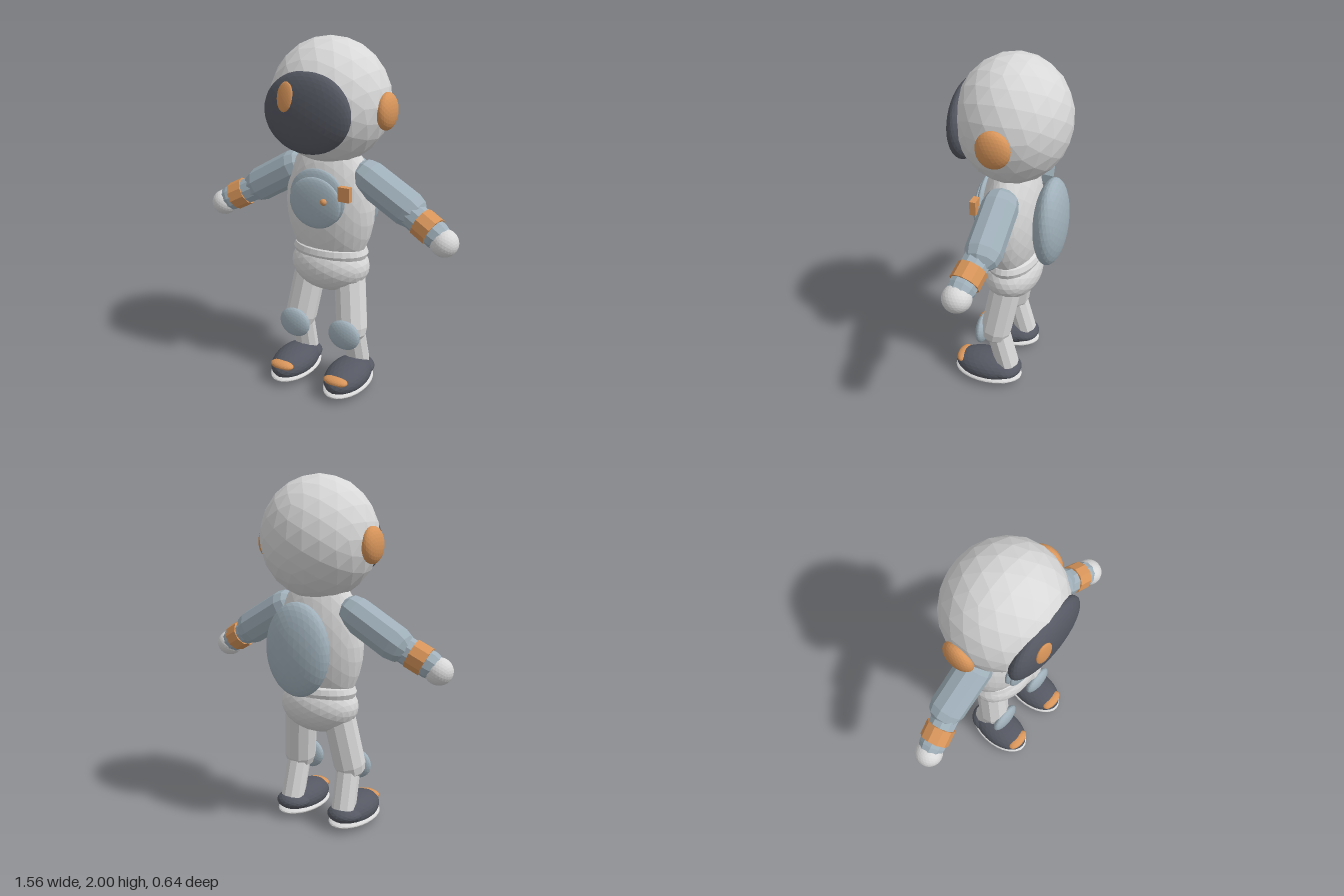
import * as THREE from 'three';

const paint = (name, color) => {
  const m = new THREE.MeshStandardMaterial({ color });
  m.name = name;
  return m;
};

// Faceted normals for a low-poly look
function faceted(geometry) {
  const g = geometry.index ? geometry.toNonIndexed() : geometry;
  g.computeVertexNormals();
  return g;
}

export function createModel() {
  const suit = paint('suit grey', 0xd8d8d8);
  const blue = paint('pad blue grey', 0xa0b0ba);
  const orange = paint('accent orange', 0xd8955a);
  const dark = paint('visor dark', 0x555862);
  const model = new THREE.Group();
  model.name = 'spaceSuitFigure';

  function add(name, geometry, material, parent = model) {
    const mesh = new THREE.Mesh(faceted(geometry), material);
    mesh.name = name;
    parent.add(mesh);
    return mesh;
  }

  // Faceted ellipsoid from centre and radii
  function blob(name, material, centre, radii, detail = 4, parent = model) {
    const mesh = add(name, new THREE.IcosahedronGeometry(1, detail), material, parent);
    mesh.position.set(...centre);
    mesh.scale.set(...radii);
    return mesh;
  }

  // Eight-sided limb between two points, rounded or straight-ended
  function limb(name, material, a, b, radius, rounded, parent) {
    const from = new THREE.Vector3(...a), to = new THREE.Vector3(...b);
    const dir = to.clone().sub(from), length = dir.length();
    const geometry = rounded
      ? new THREE.CapsuleGeometry(radius, length, 3, 10)
      : new THREE.CylinderGeometry(radius, radius, length, 10);
    const mesh = add(name, geometry, material, parent);
    mesh.position.copy(from).add(to).multiplyScalar(0.5);
    mesh.quaternion.setFromUnitVectors(new THREE.Vector3(0, 1, 0), dir.normalize());
    return mesh;
  }

  // Helmet
  blob('helmet', suit, [0, 1.66, -0.01], [0.337, 0.342, 0.312], 3);
  blob('visor', dark, [0, 1.63, 0.24], [0.256, 0.216, 0.078], 6);
  const glint = blob('visorGlint', orange, [-0.09, 1.715, 0.304], [0.05, 0.078, 0.014], 4);
  glint.rotation.set(-0.13, -0.12, -0.1);

  // Trunk
  blob('torso', suit, [0, 1.08, -0.005], [0.272, 0.4, 0.162], 4);
  blob('hips', suit, [0, 0.72, -0.008], [0.24, 0.16, 0.168], 4);
  const belt = add('belt', new THREE.TorusGeometry(0.19, 0.042, 8, 28).rotateX(Math.PI / 2), suit);
  belt.position.set(0, 0.81, -0.01);
  belt.scale.z = 0.66;
  blob('backpack', blue, [0, 1.07, -0.225], [0.2, 0.262, 0.09], 5);

  // Chest panel
  blob('chestPlate', blue, [0, 1.15, 0.14], [0.172, 0.165, 0.036], 5);
  blob('chestDisc', blue, [0, 1.127, 0.165], [0.16, 0.145, 0.032], 5);
  blob('chestButton', orange, [0.07, 1.15, 0.19], [0.02, 0.02, 0.02], 2);
  add('chestBadge', new THREE.BoxGeometry(0.068, 0.08, 0.035), orange)
    .position.set(0.18, 1.2, 0.155);

  for (const [side, s] of [['left', 1], ['right', -1]]) {
    blob(side + 'EarCap', orange, [s * 0.335, 1.63, -0.012], [0.05, 0.1, 0.092], 4);

    // Arm
    const arm = new THREE.Group();
    arm.name = side + 'Arm';
    model.add(arm);
    limb('upperArm', blue, [s * 0.235, 1.26, -0.012], [s * 0.475, 1.122, -0.008], 0.1, true, arm);
    limb('forearm', blue, [s * 0.46, 1.125, 0], [s * 0.66, 1.02, 0.037], 0.076, true, arm);
    limb('cuff', orange, [s * 0.56, 1.075, 0.018], [s * 0.64, 1.033, 0.033], 0.083, false, arm);
    blob('hand', suit, [s * 0.706, 0.99, 0.047], [0.077, 0.075, 0.078], 4, arm);

    // Leg
    const leg = new THREE.Group();
    leg.name = side + 'Leg';
    model.add(leg);
    limb('thigh', suit, [s * 0.13, 0.66, -0.005], [s * 0.172, 0.37, 0.045], 0.093, true, leg);
    limb('shin', suit, [s * 0.172, 0.34, 0.03], [s * 0.178, 0.12, -0.028], 0.07, false, leg);
    blob('kneePad', blue, [s * 0.165, 0.35, 0.128], [0.1, 0.09, 0.038], 4, leg);

    // Boot
    blob('boot', dark, [s * 0.18, 0.088, 0.1], [0.12, 0.088, 0.2], 4, leg);
    blob('bootHeel', dark, [s * 0.18, 0.092, -0.01], [0.105, 0.052, 0.105], 3, leg);
    blob('sole', suit, [s * 0.18, 0.042, 0.095], [0.124, 0.032, 0.212], 4, leg);
    blob('toeCap', orange, [s * 0.18, 0.12, 0.252], [0.076, 0.028, 0.04], 3, leg);
  }
  return model;
}
